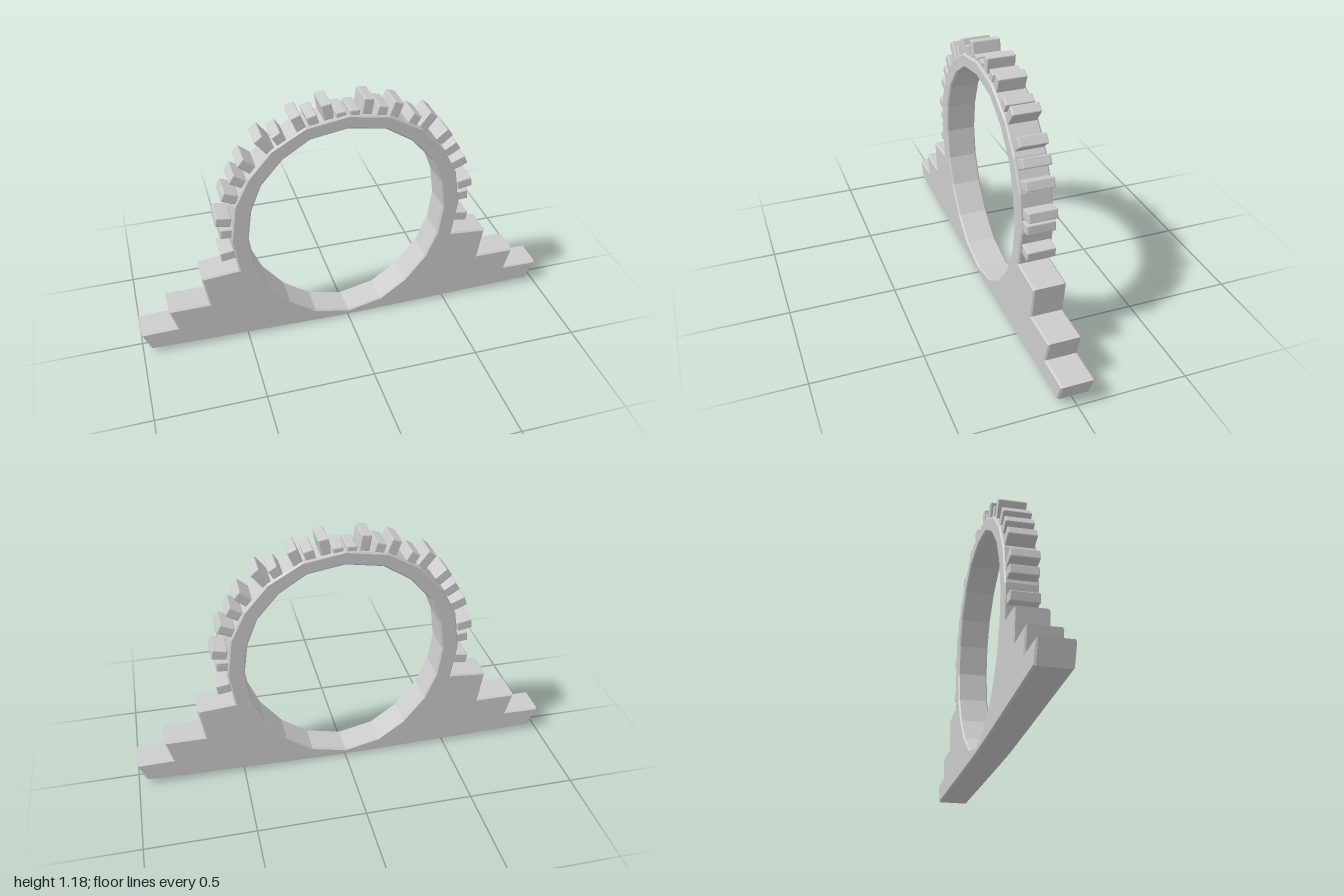
import * as THREE from 'three';
import { RoundedBoxGeometry } from 'three/addons/geometries/RoundedBoxGeometry.js';

const DEPTH = 0.148;
const BEVEL = 0.007;
const CENTRE_Y = 0.56;

// Right half of an outline, from bottom to top; both ends lie on x = 0
const outerHalf = [
  [0, 0], [0.35, 0.006], [0.96, 0.02],
  [1, 0.115], [0.83, 0.118], [0.86, 0.225], [0.67, 0.225],
  [0.695, 0.38], [0.52, 0.395],
  [0.545, 0.56], [0.52, 0.74], [0.452, 0.875], [0.345, 0.998], [0.19, 1.087], [0, 1.118],
];
const innerHalf = [
  [0, 0.032], [0.165, 0.07], [0.29, 0.16], [0.39, 0.285], [0.445, 0.415], [0.465, 0.56],
  [0.445, 0.705], [0.395, 0.83], [0.295, 0.945], [0.17, 1.025], [0, 1.053],
];

// Tooth centres on the right side: x, y, radial length
const teeth = [
  [0.565, 0.48, 0.065], [0.56, 0.60, 0.06], [0.572, 0.665, 0.07],
  [0.535, 0.785, 0.07], [0.495, 0.865, 0.065], [0.452, 0.935, 0.07],
  [0.37, 1.027, 0.085], [0.303, 1.043, 0.06], [0.218, 1.107, 0.075],
  [0.155, 1.11, 0.05], [0.09, 1.143, 0.075], [0.03, 1.117, 0.035],
];

function mirrored(half) {
  const left = half.slice(1, -1).reverse().map(([x, y]) => [-x, y]);
  return [...half, ...left].map(([x, y]) => new THREE.Vector2(x, y));
}

export function createModel() {
  const model = new THREE.Group();
  model.name = 'steppedArch';
  const material = new THREE.MeshStandardMaterial({ color: 0xcccccc, flatShading: true });

  // Stepped base and ring in one piece, with bevelled edges
  const outline = new THREE.Shape(mirrored(outerHalf));
  outline.holes.push(new THREE.Path(mirrored(innerHalf)));
  const frameGeometry = new THREE.ExtrudeGeometry(outline, {
    depth: DEPTH - 2 * BEVEL,
    bevelEnabled: true,
    bevelSegments: 1,
    bevelThickness: BEVEL,
    bevelSize: BEVEL,
    bevelOffset: -BEVEL,
  });
  frameGeometry.translate(0, 0, -DEPTH / 2 + BEVEL);
  const frame = new THREE.Mesh(frameGeometry, material);
  frame.name = 'baseAndRing';
  model.add(frame);

  // Blocks standing out from the ring, mirrored left and right
  const blocks = new THREE.Group();
  blocks.name = 'ringBlocks';
  for (const [x, y, length] of teeth) {
    const geometry = new RoundedBoxGeometry(0.046, length, 0.13, 1, 0.005);
    for (const side of [1, -1]) {
      const block = new THREE.Mesh(geometry, material);
      block.name = side > 0 ? 'leftBlock' : 'rightBlock';
      block.position.set(side * x, y, 0);
      block.rotation.z = -side * Math.atan2(x, y - CENTRE_Y);
      blocks.add(block);
    }
  }
  model.add(blocks);
  return model;
}
